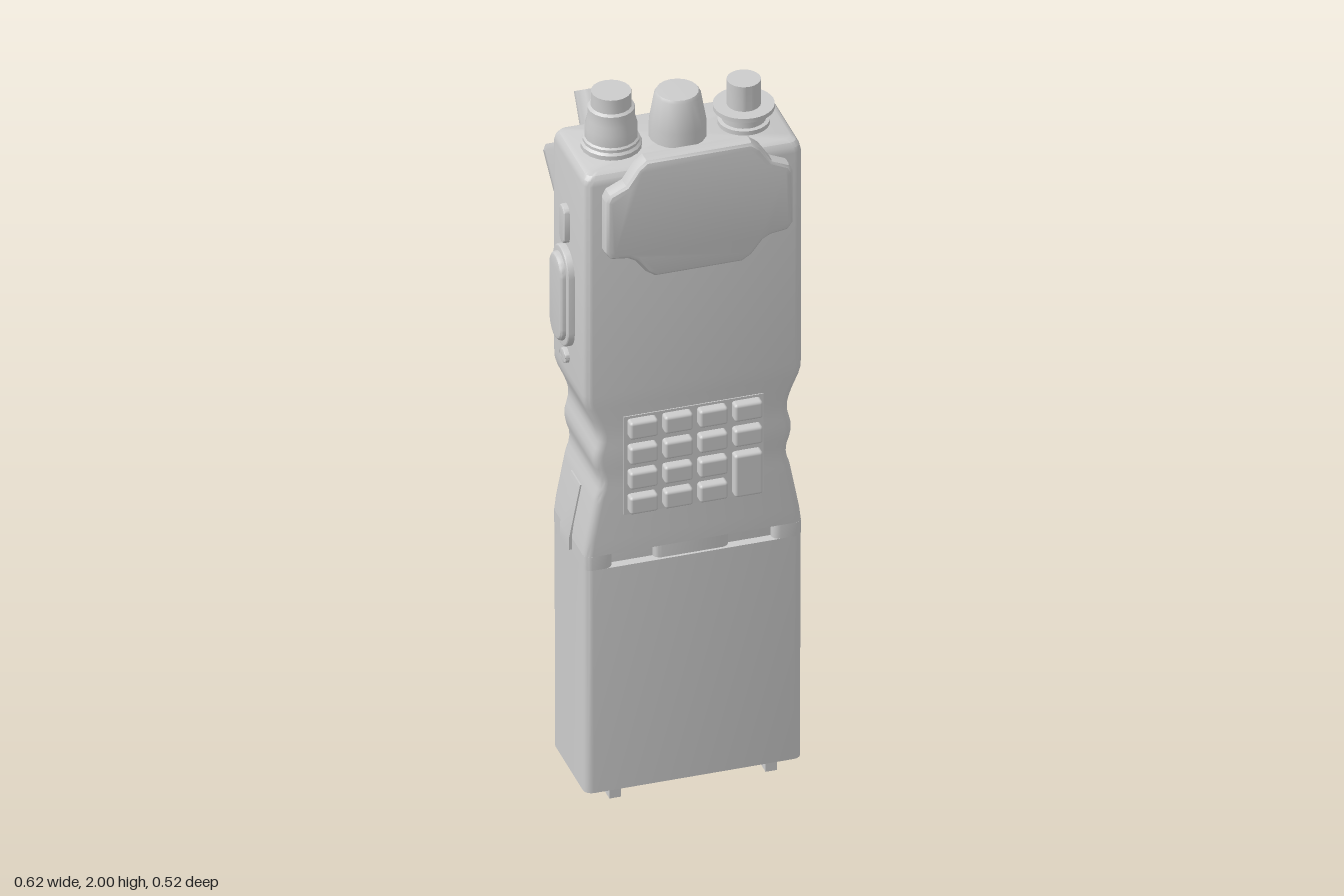
import * as THREE from 'three';
import { toCreasedNormals } from 'three/addons/utils/BufferGeometryUtils.js';
import { RoundedBoxGeometry } from 'three/addons/geometries/RoundedBoxGeometry.js';

const material = new THREE.MeshStandardMaterial({ color: 0xcccccc });
const CX = 0.0125, BACK = -0.055, FRONT = 0.211;
const V = (x, y, z) => new THREE.Vector3(x, y, z);

function part(parent, name, geometry, x = 0, y = 0, z = 0) {
  const mesh = new THREE.Mesh(geometry, material);
  mesh.name = name;
  mesh.position.set(x, y, z);
  parent.add(mesh);
  return mesh;
}

// Skin through equal-length rings with flat caps at both ends
function loft(rings) {
  const n = rings[0].length, pos = [];
  const tri = (...p) => p.forEach(v => pos.push(v.x, v.y, v.z));
  for (let i = 0; i < rings.length - 1; i++) {
    for (let j = 0; j < n; j++) {
      const k = (j + 1) % n, a = rings[i], b = rings[i + 1];
      tri(a[j], a[k], b[k]);
      tri(a[j], b[k], b[j]);
    }
  }
  const cap = (ring, flip) => {
    const c = ring.reduce((s, p) => s.add(p), V(0, 0, 0)).divideScalar(n);
    ring.forEach((p, j) => {
      const q = ring[(j + 1) % n];
      if (flip) tri(c, q, p); else tri(c, p, q);
    });
  };
  cap(rings[0], true);
  cap(rings[rings.length - 1], false);
  const g = new THREE.BufferGeometry();
  g.setAttribute('position', new THREE.Float32BufferAttribute(pos, 3));
  return toCreasedNormals(g, 0.5);
}

// Horizontal rounded rectangle at height y
function ring(y, cx, hw, z0, z1, r) {
  const cz = (z0 + z1) / 2, hd = (z1 - z0) / 2, pts = [];
  const signs = [[1, -1], [-1, -1], [-1, 1], [1, 1]];
  signs.forEach(([sx, sz], q) => {
    for (let i = 0; i <= 4; i++) {
      const a = (q + i / 4) * Math.PI / 2;
      pts.push(V(cx + sx * (hw - r) + r * Math.cos(a), y, cz + sz * (hd - r) - r * Math.sin(a)));
    }
  });
  return pts;
}
const bodyRing = (y, hw, inset = 0) =>
  ring(y, CX, hw - inset, BACK + inset, FRONT - inset, 0.022);

function lathe(points, sides) {
  const g = new THREE.LatheGeometry(points.map(p => new THREE.Vector2(p[0], p[1])), sides);
  return toCreasedNormals(g, 0.5);
}

function extrude(points, depth, bevel = 0) {
  const shape = Array.isArray(points) ? new THREE.Shape(points.map(p => new THREE.Vector2(p[0], p[1]))) : points;
  const g = new THREE.ExtrudeGeometry(shape, {
    depth, bevelEnabled: bevel > 0, bevelThickness: bevel, bevelSize: bevel,
    bevelOffset: -bevel, bevelSegments: 3, curveSegments: 10,
  });
  return toCreasedNormals(g, 0.5);
}

function stadium(w, h) {
  const r = w / 2, s = h / 2 - r;
  return new THREE.Shape().absarc(0, s, r, 0, Math.PI).absarc(0, -s, r, Math.PI, 2 * Math.PI);
}

export function createModel() {
  const root = new THREE.Group();
  root.name = 'handheldRadio';

  // Upper housing with the scalloped grip
  const grip = [
    [0.72, 0.288], [0.76, 0.283], [0.87, 0.262], [0.89, 0.258], [0.91, 0.251], [0.93, 0.248],
    [0.95, 0.25], [0.97, 0.257], [0.99, 0.261], [1.01, 0.261], [1.03, 0.256], [1.05, 0.251],
    [1.07, 0.251], [1.09, 0.256], [1.11, 0.263], [1.15, 0.281], [1.17, 0.287], [1.19, 0.288], [1.808, 0.288],
  ].map(([y, hw]) => bodyRing(y, hw));
  part(root, 'upperHousing', loft([
    ...grip, bodyRing(1.823, 0.288, 0.003), bodyRing(1.834, 0.288, 0.01), bodyRing(1.84, 0.288, 0.022),
  ]));

  // Battery, joint with release slots, and foot rails
  part(root, 'battery', loft([bodyRing(0.025, 0.286), bodyRing(0.68, 0.287)]));
  part(root, 'jointCore', loft([0.675, 0.725].map(y => ring(y, CX, 0.26, BACK + 0.025, FRONT - 0.025, 0.01))));
  part(root, 'slotBridge', loft([0.675, 0.725].map(y => ring(y, 0.01, 0.1, BACK + 0.008, FRONT - 0.008, 0.02))));
  for (const [a, b] of [[-0.275, -0.2], [0.222, 0.3]]) {
    part(root, 'jointEnd', loft([0.68, 0.72].map(y => ring(y, (a + b) / 2, (b - a) / 2, BACK, FRONT, 0.02))));
  }
  for (const x of [-0.195, 0.217]) {
    part(root, 'footRail', new THREE.BoxGeometry(0.03, 0.035, 0.262), x, 0.0175, 0.078);
  }

  // Side latches
  for (const s of [-1, 1]) {
    const pts = [[0.22, 0.87], [0.22, 0.685], [0.295, 0.685], [0.295, 0.72], [0.266, 0.87]].map(([x, y]) => [s * x, y]);
    part(root, 'sideLatch', extrude(pts, 0.075), CX, 0, 0.03);
  }

  // Speaker plate
  part(root, 'speakerPlate', extrude([
    [-0.105, 1.545], [0.125, 1.545], [0.15, 1.56], [0.18, 1.598], [0.2, 1.609], [0.245, 1.615], [0.26, 1.635],
    [0.26, 1.785], [0.25, 1.805], [0.205, 1.825], [0.175, 1.87], [0.15, 1.89], [-0.128, 1.89],
    [-0.152, 1.87], [-0.182, 1.825], [-0.225, 1.805], [-0.235, 1.785], [-0.235, 1.635],
    [-0.222, 1.615], [-0.177, 1.609], [-0.157, 1.598], [-0.127, 1.56],
  ], 0.021, 0.016), 0, 0, 0.226);

  // Keypad with a double-height key at the lower right
  const keypad = new THREE.Group();
  keypad.name = 'keypad';
  root.add(keypad);
  part(keypad, 'keypadPlate', new THREE.BoxGeometry(0.368, 0.288, 0.02), 0.011, 0.974, 0.204);
  const rows = [1.086, 1.012, 0.939, 0.866];
  [-0.127, -0.035, 0.057, 0.149].forEach((x, c) => rows.forEach((y, r) => {
    if (c === 3 && r === 3) return;
    const tall = c === 3 && r === 2;
    part(keypad, 'key', new RoundedBoxGeometry(0.075, tall ? 0.124 : 0.05, 0.04, 2, 0.008),
      x, tall ? 0.901 : y, 0.22);
  }));

  // Talk button and small buttons on the right side
  const side = (name, w, h, out, y, bevel) => {
    const g = extrude(stadium(w, h), 0.05 - bevel, bevel);
    part(root, name, g, -out + 0.05, y, 0.067).rotation.y = -Math.PI / 2;
  };
  side('talkButtonRim', 0.126, 0.285, 0.294, 1.415, 0.006);
  side('talkButton', 0.1, 0.25, 0.309, 1.415, 0.012);
  side('upperSideButton', 0.046, 0.11, 0.291, 1.625, 0.006);
  side('lowerSideButton', 0.046, 0.04, 0.288, 1.237, 0.005);

  // Slanted socket housing on the back
  const u = [[0.014, 0], [0.014, 0.7], [0.004, 0.84], [-0.018, 0.94], [-0.055, 1],
    [-0.185, 1], [-0.22, 0.95], [-0.242, 0.84], [-0.252, 0.62], [-0.252, 0]];
  const slope = (x, t, drop, k) => V(-0.119 + (x + 0.119) * k, 1.79 - 0.135 * t - drop, -0.05 - 0.212 * t);
  part(root, 'rearSocketHousing', loft([
    u.map(([x, t]) => V(x, 1.765 - 0.325 * t, -0.025)),
    u.map(([x, t]) => slope(x, t, 0.018, 1)),
    u.map(([x, t]) => slope(x, t * 0.975, 0, 0.96)),
  ]));
  const socket = part(root, 'rearSocket', lathe([
    [0, -0.02], [0.077, -0.02], [0.077, 0.012], [0.066, 0.022], [0.045, 0.022], [0.045, 0.118], [0, 0.118],
  ], 28), -0.12, 1.729, -0.147);
  socket.rotation.x = -Math.atan2(0.212, 0.135) + Math.PI / 2 - 2 * Math.atan2(0.135, 0.212);

  // Controls on the top
  part(root, 'antennaMount', lathe([
    [0, -0.01], [0.078, -0.01], [0.078, 0.012], [0.072, 0.018], [0.072, 0.026], [0.067, 0.03], [0.067, 0.062],
    [0.061, 0.084], [0.06, 0.115], [0.052, 0.12], [0.051, 0.16], [0, 0.16],
  ], 18), -0.163, 1.84, 0.079);
  part(root, 'volumeKnob', lathe([
    [0, -0.01], [0.074, -0.01], [0.073, 0.04], [0.059, 0.12], [0.054, 0.128], [0, 0.13],
  ], 18), 0.012, 1.84, 0.079);
  part(root, 'topConnector', lathe([
    [0, -0.01], [0.066, -0.01], [0.066, 0.012], [0.056, 0.014], [0.056, 0.042], [0.078, 0.044],
    [0.078, 0.056], [0.043, 0.056], [0.043, 0.128], [0, 0.128],
  ], 32), 0.187, 1.84, 0.079);

  return root;
}
